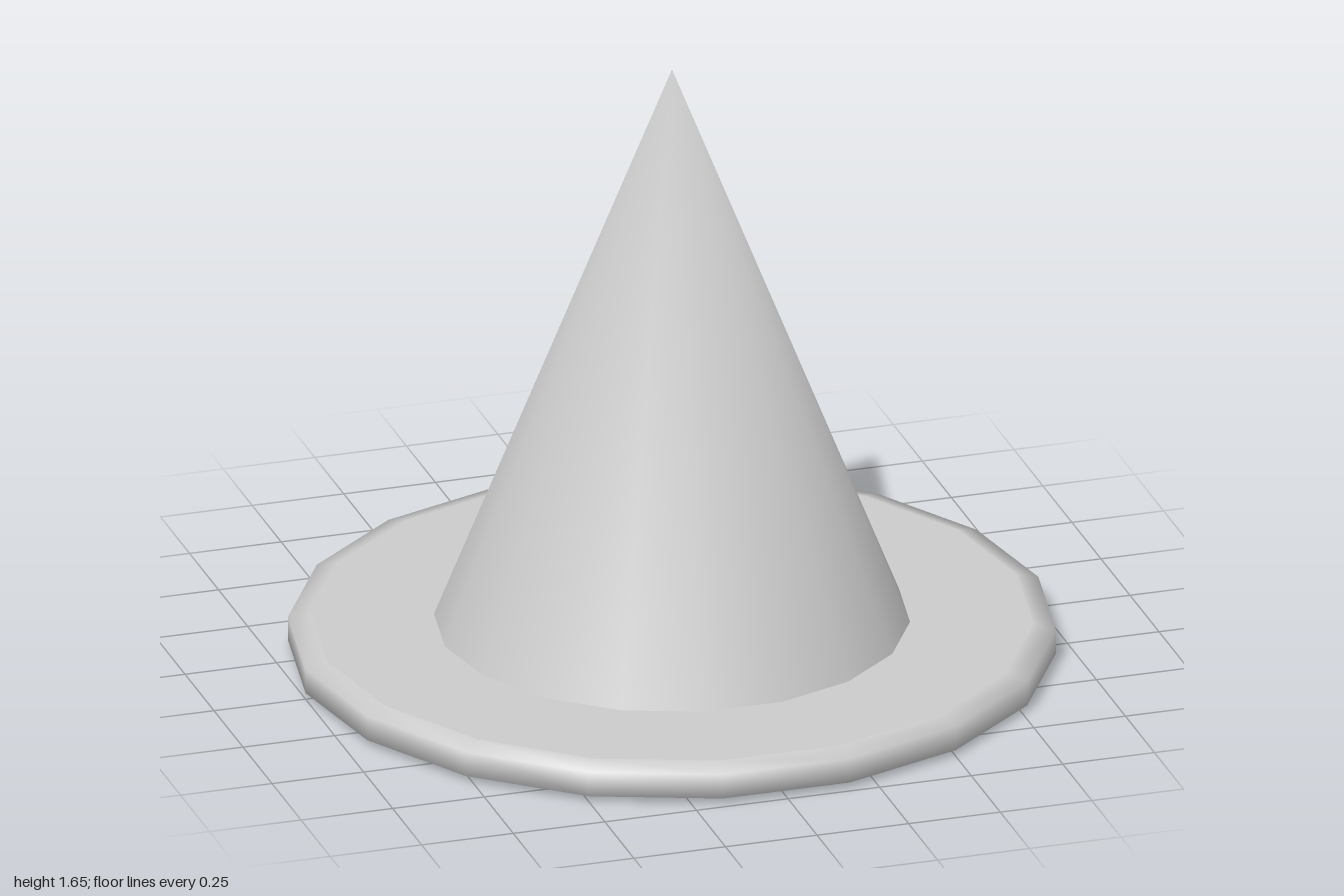
import * as THREE from 'three';

const SIDES = 18;
const START = Math.PI / 2; // puts polygon corners on the x axis
const material = new THREE.MeshStandardMaterial({ color: 0xcccccc });

function part(name, geometry) {
  const mesh = new THREE.Mesh(geometry, material);
  mesh.name = name;
  return mesh;
}

function lathe(profile, sides) {
  const points = profile.map(([r, y]) => new THREE.Vector2(r, y));
  return new THREE.LatheGeometry(points, sides, START);
}

function polygon(radius, sides) {
  return Array.from({ length: sides }, (_, i) => {
    const a = (i / sides) * Math.PI * 2;
    return new THREE.Vector2(radius * Math.cos(a), radius * Math.sin(a));
  });
}

export function createModel() {
  const hat = new THREE.Group();
  hat.name = 'pointedHat';

  // Brim: bevelled rim and flat top, softly shaded
  hat.add(part('brim', lathe([
    [0.94, 0], [0.945, 0], [1, 0.017], [1, 0.085], [0.945, 0.1], [0.94, 0.1], [0.6, 0.1],
  ], SIDES)));

  // Underside of the brim with a six-sided opening
  const under = new THREE.Shape(polygon(0.94, SIDES));
  under.holes.push(new THREE.Path(polygon(0.5, 6)));
  hat.add(part('brimUnderside', new THREE.ShapeGeometry(under).rotateX(Math.PI / 2)));

  // Head socket: faceted recess, facing inward
  const socket = lathe([[0, 0.33], [0.5, 0.33], [0.5, 0]], 6).toNonIndexed();
  socket.computeVertexNormals();
  hat.add(part('headSocket', socket));

  // Crown: tall cone whose shading blends to straight up at the tip
  const height = 1.555;
  const crown = new THREE.ConeGeometry(0.62, height, SIDES, 1, true, START);
  const { position, normal } = crown.attributes;
  for (let i = 0; i < position.count; i++) {
    if (position.getY(i) > 0) normal.setXYZ(i, 0, 1, 0);
  }
  crown.translate(0, 0.1 + height / 2, 0);
  hat.add(part('crown', crown));

  return hat;
}
